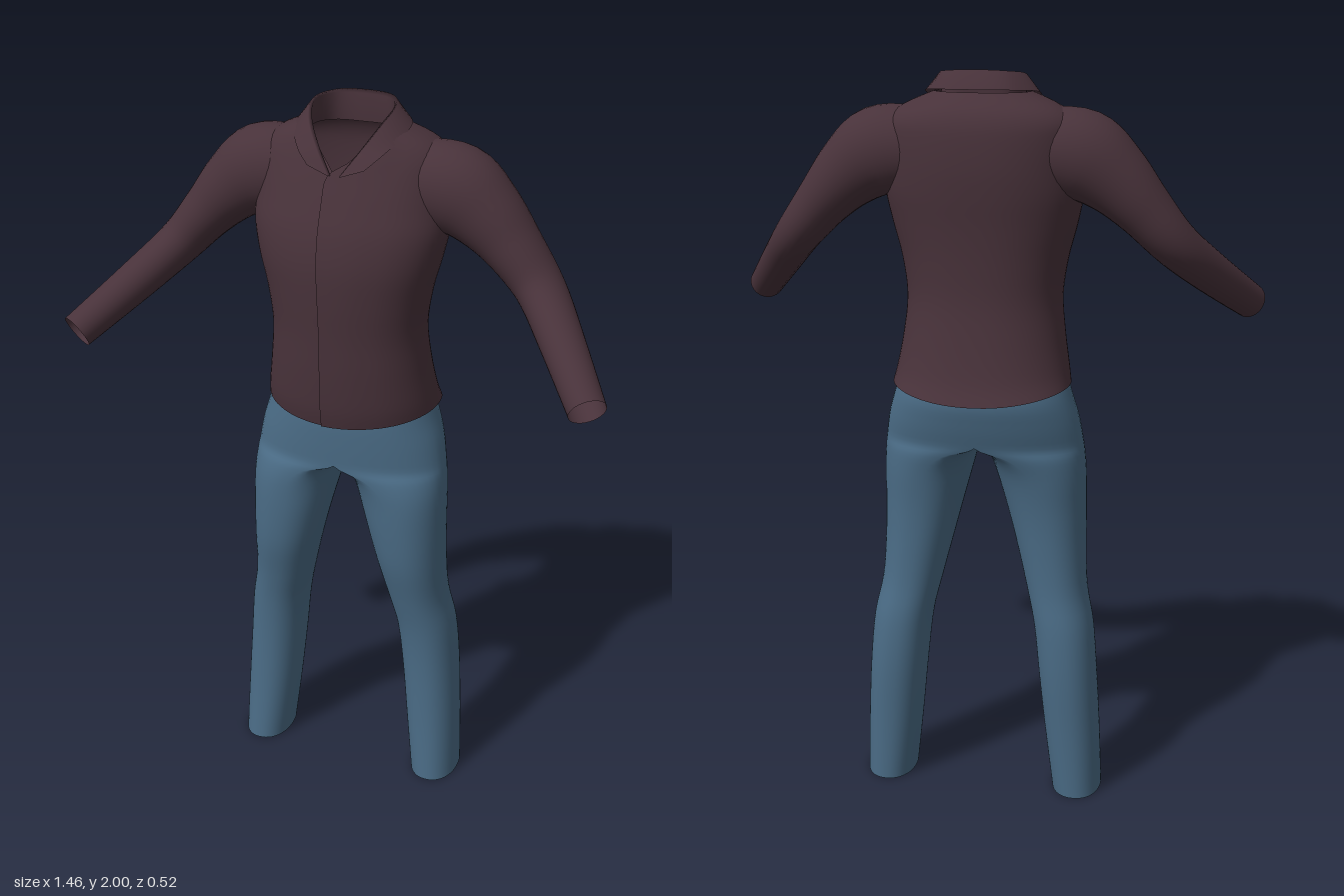
import * as THREE from 'three';
import { mergeGeometries, mergeVertices } from 'three/addons/utils/BufferGeometryUtils.js';

const V = (x, y, z) => new THREE.Vector3(x, y, z);
const pw = (v, p) => Math.sign(v) * Math.abs(v) ** p;

// Smoothly resample rows of numbers (one row per cross-section).
function resample(rows, steps) {
  const out = [], last = rows.length - 1;
  for (let i = 0; i < last; i++) {
    for (let k = 0; k < steps; k++) {
      const t = k / steps;
      out.push(rows[i].map((p1, c) => {
        const p2 = rows[i + 1][c], p0 = rows[Math.max(i - 1, 0)][c], p3 = rows[Math.min(i + 2, last)][c];
        return p1 + 0.5 * t * (p2 - p0 + t * (2 * p0 - 5 * p1 + 4 * p2 - p3 + t * (3 * (p1 - p2) + p3 - p0)));
      }));
    }
  }
  out.push(rows[last]);
  return out;
}

// Skin a list of point rings; quads lying on the centre plane are left out.
function skin(rings, closed) {
  const n = rings[0].length, pos = [], index = [];
  rings.forEach(r => r.forEach(p => pos.push(p.x, p.y, p.z)));
  for (let i = 0; i < rings.length - 1; i++) {
    for (let j = 0; j < (closed ? n : n - 1); j++) {
      const a = i * n + j, b = i * n + (j + 1) % n, c = a + n, d = b + n;
      if ([a, b, c, d].every(k => Math.abs(pos[k * 3]) < 1e-4)) continue;
      index.push(a, c, b, b, c, d);
    }
  }
  const g = new THREE.BufferGeometry();
  g.setAttribute('position', new THREE.Float32BufferAttribute(pos, 3));
  g.setIndex(index);
  g.computeVertexNormals();
  return g;
}

const mirror = rings => rings.map(r => r.map(p => V(-p.x, p.y, p.z)).reverse());

// Shirt body: y, half width, front z, back z, front opening angle, side lift
function torsoGeometry() {
  const rows = [
    [1.165, 0.238, 0.110, -0.262, 0, 0.028],
    [1.22, 0.230, 0.120, -0.238, 0, 0.015],
    [1.32, 0.216, 0.127, -0.215, 0, 0],
    [1.42, 0.207, 0.130, -0.200, 0, 0],
    [1.52, 0.220, 0.135, -0.200, 0, 0],
    [1.61, 0.243, 0.135, -0.206, 0, 0],
    [1.69, 0.258, 0.122, -0.215, 0, 0],
    [1.76, 0.255, 0.098, -0.220, 0, 0],
    [1.83, 0.252, 0.070, -0.218, 0.01, 0],
    [1.875, 0.243, 0.050, -0.210, 0.13, 0],
    [1.91, 0.205, 0.035, -0.190, 0.32, 0],
    [1.945, 0.125, 0.020, -0.150, 0.78, 0],
  ];
  const n = 64;
  return skin(resample(rows, 4).map(([y, w, zf, zb, gap, lift]) => {
    const g = Math.max(gap, 0), ring = [];
    for (let j = 0; j <= n; j++) {
      // one front panel overlaps the other a little to form the button edge
      const a0 = g - 0.08 * Math.max(0, 1 - g / 0.1);
      const a = a0 + (Math.PI * 2 - g - a0) * j / n;
      const raise = 0.006 * Math.max(0, 1 - j / 5);
      const s = pw(Math.sin(a), 0.9), c = pw(Math.cos(a), 0.9);
      ring.push(V(w * s, y + lift * s * s, (zf + zb) / 2 + c * (zf - zb) / 2 + raise));
    }
    return ring;
  }), false);
}

// Sleeve: centre x, y, z, then radius across the arm and in depth
function sleeveRings(wristZ) {
  const rows = resample([
    [0.17, 1.800, -0.075, 0.108, 0.100],
    [0.265, 1.788, -0.075, 0.116, 0.105],
    [0.345, 1.735, -0.072, 0.095, 0.095],
    [0.42, 1.660, -0.065, 0.074, 0.084],
    [0.50, 1.570, -0.040, 0.061, 0.074],
    [0.585, 1.482, 0.060, 0.055, 0.061],
    [0.69, 1.375, wristZ, 0.047, 0.050],
  ], 5);
  return rows.map(([x, y, z, ru, rd], i) => {
    const p = rows[Math.max(i - 1, 0)], q = rows[Math.min(i + 1, rows.length - 1)];
    const t = V(q[0] - p[0], q[1] - p[1], q[2] - p[2]).normalize();
    const depth = V(0, 0, 1).addScaledVector(t, -t.z).normalize();
    const up = depth.clone().cross(t);
    return Array.from({ length: 32 }, (_, j) => {
      const a = j / 32 * Math.PI * 2;
      return V(x, y, z).addScaledVector(up, ru * Math.cos(a)).addScaledVector(depth, rd * Math.sin(a));
    });
  });
}

// Collar: neckline, folded top edge and outer edge, each from centre back to front
function collarGeometry() {
  const halves = [
    [[0, 1.92, -0.13], [0.08, 1.92, -0.12], [0.112, 1.92, -0.06], [0.098, 1.90, 0], [0.055, 1.86, 0.04], [0.01, 1.82, 0.068]],
    [[0, 1.992, -0.128], [0.07, 1.99, -0.116], [0.104, 1.985, -0.06], [0.09, 1.952, 0], [0.05, 1.89, 0.046], [0.012, 1.835, 0.074]],
    [[0, 2.0, -0.138], [0.075, 1.997, -0.125], [0.112, 1.987, -0.062], [0.098, 1.953, 0.006], [0.056, 1.89, 0.054], [0.016, 1.835, 0.08]],
    [[0, 1.953, -0.166], [0.09, 1.952, -0.148], [0.146, 1.945, -0.08], [0.141, 1.92, -0.005], [0.108, 1.885, 0.05], [0.075, 1.855, 0.073]],
  ];
  return skin(halves.map(h => {
    const pts = h.map(p => V(...p));
    const all = [...pts.slice(1).reverse().map(p => V(-p.x, p.y, p.z)), ...pts];
    return new THREE.CatmullRomCurve3(all).getPoints(60);
  }), false);
}

// Trouser half: y, section centre x, outer x, inner x, front z, back z
function legRings() {
  const rows = [
    [1.26, 0, 0.212, 0, 0.075, -0.195],
    [1.17, 0, 0.237, 0, 0.087, -0.225],
    [1.10, 0, 0.258, 0, 0.088, -0.215],
    [1.035, 0, 0.270, 0, 0.086, -0.196],
    [1.00, 0.095, 0.274, 0.018, 0.086, -0.185],
    [0.94, 0.150, 0.278, 0.035, 0.086, -0.170],
    [0.84, 0.172, 0.280, 0.063, 0.083, -0.157],
    [0.73, 0.188, 0.282, 0.092, 0.073, -0.153],
    [0.61, 0.207, 0.289, 0.122, 0.047, -0.156],
    [0.50, 0.229, 0.311, 0.147, 0.029, -0.170],
    [0.36, 0.245, 0.324, 0.163, 0.022, -0.174],
    [0.18, 0.259, 0.335, 0.182, 0.027, -0.166],
    [0.00, 0.273, 0.342, 0.204, 0.040, -0.160],
  ];
  return resample(rows, 4).map(([y, xc, xo, xi, zf, zb]) => Array.from({ length: 48 }, (_, j) => {
    const a = j / 48 * Math.PI * 2, c = pw(Math.cos(a), 0.92), s = pw(Math.sin(a), 0.92);
    const m = Math.max(xc, 0), inner = Math.max(xi, 0);
    const x = c > 0 ? m + (xo - m) * c : Math.max(0, m + (m - inner) * c);
    return V(x < 1e-5 ? 0 : x, y, (zf + zb) / 2 + s * (zf - zb) / 2);
  }));
}

export function createModel() {
  const shirtCloth = new THREE.MeshStandardMaterial({ color: 0x48323a, side: THREE.DoubleSide });
  shirtCloth.name = 'plum shirt cloth';
  const denim = new THREE.MeshStandardMaterial({ color: 0x4a6b85, side: THREE.DoubleSide });
  denim.name = 'blue denim';

  const model = new THREE.Group();
  model.name = 'outfit';
  const add = (name, geometry, material, x = 0) => {
    const mesh = new THREE.Mesh(geometry, material);
    mesh.name = name;
    mesh.position.x = x;
    model.add(mesh);
  };

  // Shirt
  add('shirtBody', torsoGeometry(), shirtCloth, -0.006);
  add('collar', collarGeometry(), shirtCloth, -0.005);
  add('leftSleeve', skin(sleeveRings(0.2), true), shirtCloth);
  add('rightSleeve', skin(mirror(sleeveRings(0.22)), true), shirtCloth);

  // Trousers, both halves welded along the centre seam
  const half = legRings();
  const trousers = mergeGeometries([skin(half, true), skin(mirror(half), true)]);
  trousers.deleteAttribute('normal');
  const welded = mergeVertices(trousers, 1e-4);
  welded.computeVertexNormals();
  add('trousers', welded, denim, -0.008);

  return model;
}
